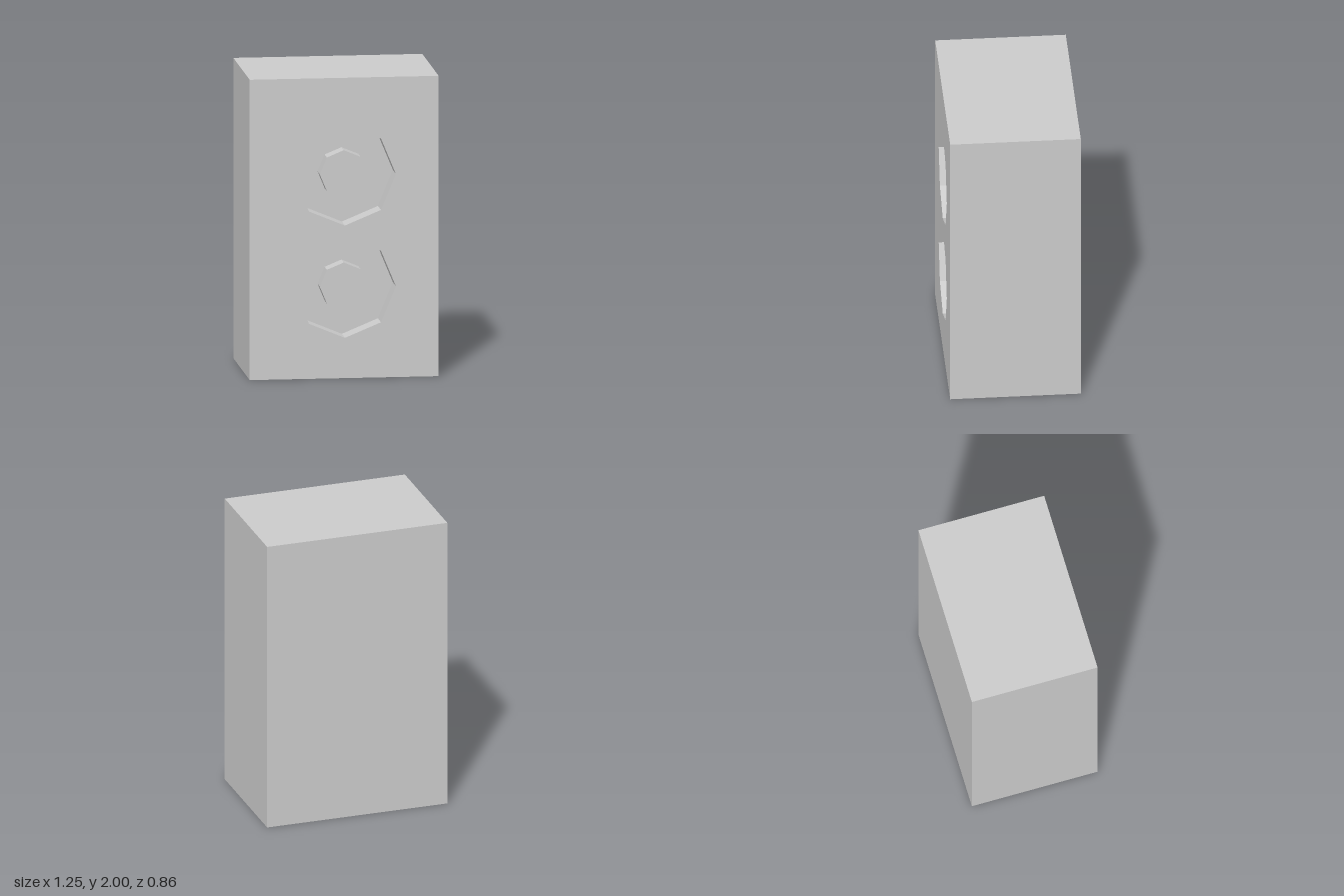
import * as THREE from 'three';

const W = 1.25, H = 2, D = 0.86;
const SIDES = 8, WELL_R = 0.337, PILLAR_R = 0.158;
const WELL_DEPTH = 0.16, PILLAR_TOP = 0.04;
const WELL_X = 0.005;
const ROWS = [1.353, 0.605];

const material = new THREE.MeshStandardMaterial({ color: 0xcccccc, flatShading: true });

function addMesh(group, name, geometry, x, y, z) {
  const mesh = new THREE.Mesh(geometry, material);
  mesh.name = name;
  mesh.position.set(x, y, z);
  group.add(mesh);
}

// Octagonal turned form with its axis along z
function turned(points) {
  const profile = points.map(([r, z]) => new THREE.Vector2(r, z));
  return new THREE.LatheGeometry(profile, SIDES).rotateX(Math.PI / 2);
}

export function createModel() {
  const speaker = new THREE.Group();
  speaker.name = 'speaker';

  // Cabinet: a box with its front (+z) face left out
  const box = new THREE.BoxGeometry(W, H, D);
  box.setIndex(Array.from(box.index.array).filter((_, i) => i < 24 || i >= 30));
  box.clearGroups();
  addMesh(speaker, 'cabinet', box, 0, H / 2, 0);

  // Front panel with an octagonal opening for each driver
  const panel = new THREE.Shape([
    new THREE.Vector2(-W / 2, 0), new THREE.Vector2(W / 2, 0),
    new THREE.Vector2(W / 2, H), new THREE.Vector2(-W / 2, H),
  ]);
  for (const y of ROWS) {
    const corners = [];
    for (let i = 0; i < SIDES; i++) {
      const a = -i * 2 * Math.PI / SIDES;
      corners.push(new THREE.Vector2(WELL_X + WELL_R * Math.cos(a), y + WELL_R * Math.sin(a)));
    }
    panel.holes.push(new THREE.Path(corners));
  }
  addMesh(speaker, 'frontPanel', new THREE.ShapeGeometry(panel), 0, 0, D / 2);

  // Drivers: a recessed well with a raised centre cap
  const well = turned([[WELL_R, 0], [WELL_R, -WELL_DEPTH], [0, -WELL_DEPTH]]);
  const cap = turned([[PILLAR_R, -WELL_DEPTH], [PILLAR_R, -PILLAR_TOP], [0, -PILLAR_TOP]]);
  ROWS.forEach((y, i) => {
    const driver = new THREE.Group();
    driver.name = i === 0 ? 'upperDriver' : 'lowerDriver';
    addMesh(driver, 'driverWell', well, WELL_X, y, D / 2);
    addMesh(driver, 'driverCap', cap, 0.002, y, D / 2);
    speaker.add(driver);
  });

  return speaker;
}
